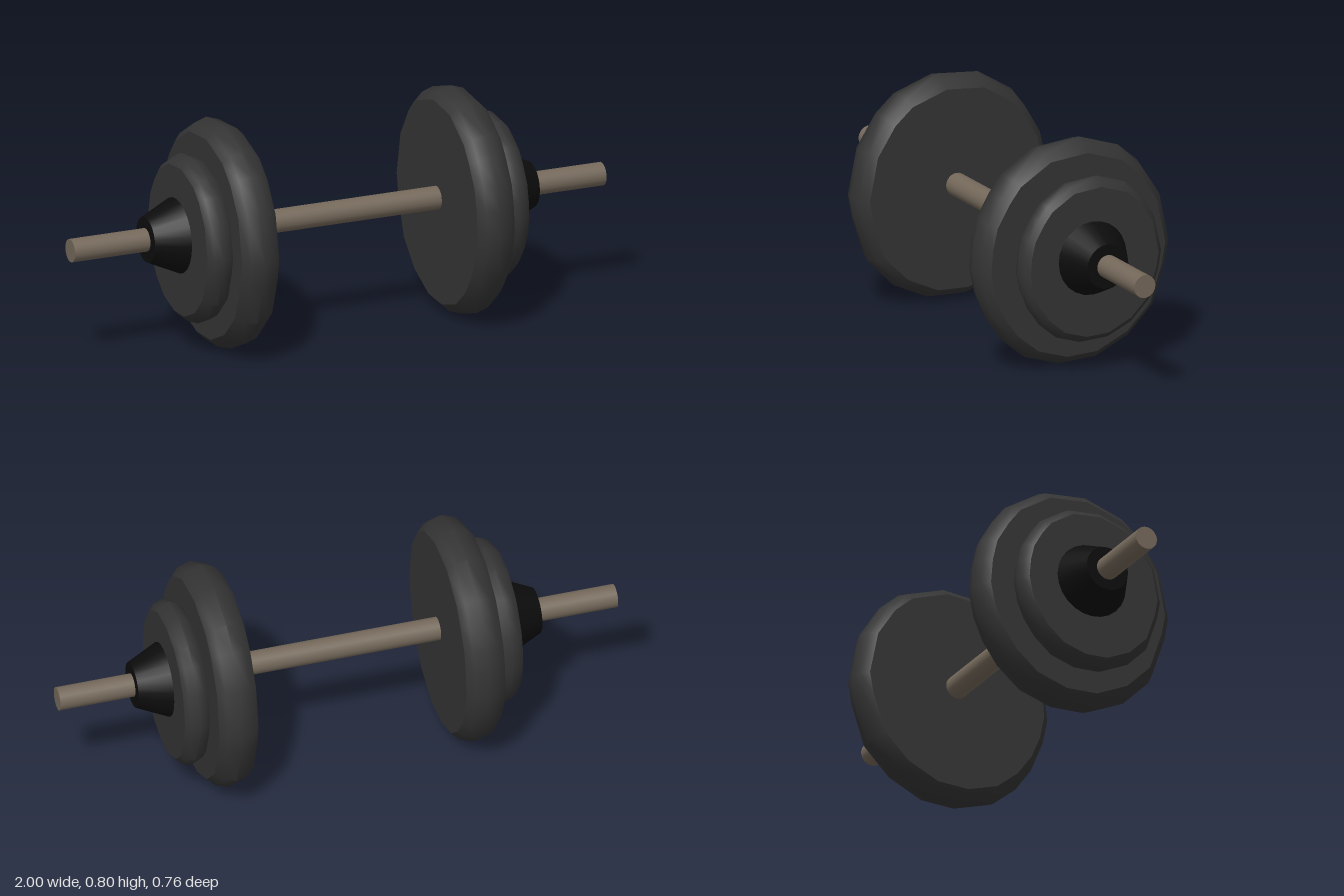
import * as THREE from 'three';
import { toCreasedNormals } from 'three/addons/utils/BufferGeometryUtils.js';

// Slightly uneven plate rim as [z, y] around the plate centre
const RIM = [
  [-0.04, 0.4], [-0.19, 0.35], [-0.265, 0.285], [-0.34, 0.17], [-0.375, 0],
  [-0.36, -0.085], [-0.31, -0.235], [-0.21, -0.335], [-0.08, -0.395], [0.05, -0.4],
  [0.175, -0.36], [0.265, -0.285], [0.325, -0.2], [0.36, -0.115], [0.378, -0.025],
  [0.37, 0.07], [0.35, 0.155], [0.3, 0.24], [0.25, 0.305], [0.12, 0.385],
];
// Cross-sections through the plate's thickness as [x, rim scale]
const SECTIONS = [
  [-0.07, 0.001], [-0.07, 0.9], [-0.045, 0.965], [0, 1],
  [0.045, 0.965], [0.07, 0.9], [0.07, 0.001],
];

function plateGeometry() {
  const positions = [], index = [], n = RIM.length;
  for (const [x, s] of SECTIONS) {
    for (const [z, y] of RIM) positions.push(x, y * s, z * s);
  }
  for (let i = 0; i < SECTIONS.length - 1; i++) {
    for (let j = 0; j < n; j++) {
      const a = i * n + j, b = i * n + (j + 1) % n;
      index.push(a, a + n, b, b, a + n, b + n);
    }
  }
  const geometry = new THREE.BufferGeometry();
  geometry.setAttribute('position', new THREE.Float32BufferAttribute(positions, 3));
  geometry.setIndex(index);
  return toCreasedNormals(geometry, 0.7);
}

export function createModel() {
  const model = new THREE.Group();
  model.name = 'dumbbell';
  const barMaterial = new THREE.MeshStandardMaterial({ color: 0x74685a });
  const plateMaterial = new THREE.MeshStandardMaterial({ color: 0x343434 });
  const collarMaterial = new THREE.MeshStandardMaterial({ color: 0x0c0c0c });

  const add = (name, geometry, material, x, y, z) => {
    const mesh = new THREE.Mesh(geometry, material);
    mesh.name = name;
    mesh.position.set(x, y, z);
    model.add(mesh);
    return mesh;
  };

  // Bar
  const bar = new THREE.CylinderGeometry(0.041, 0.041, 2, 24).rotateZ(-Math.PI / 2);
  add('bar', bar, barMaterial, 0, 0.42, 0);

  // Plates and tapered collars; the left set is turned half round
  const plate = plateGeometry();
  const collar = new THREE.CylinderGeometry(0.08, 0.133, 0.115, 24).rotateZ(-Math.PI / 2);
  const sets = [
    { side: 'left', turn: 0, large: 0.45, small: 0.575, width: 0.64, collar: 0.674, z: -0.01 },
    { side: 'right', turn: Math.PI, large: -0.435, small: -0.55, width: 0.7, collar: -0.659, z: 0.01 },
  ];
  for (const s of sets) {
    const parts = [
      add(s.side + 'LargePlate', plate, plateMaterial, s.large, 0.405, 0),
      add(s.side + 'SmallPlate', plate, plateMaterial, s.small, 0.405, s.z),
      add(s.side + 'Collar', collar, collarMaterial, s.collar, 0.42, 0),
    ];
    parts[1].scale.set(s.width, 0.735, 0.735);
    parts.forEach((part) => { part.rotation.y = s.turn; });
  }
  return model;
}
